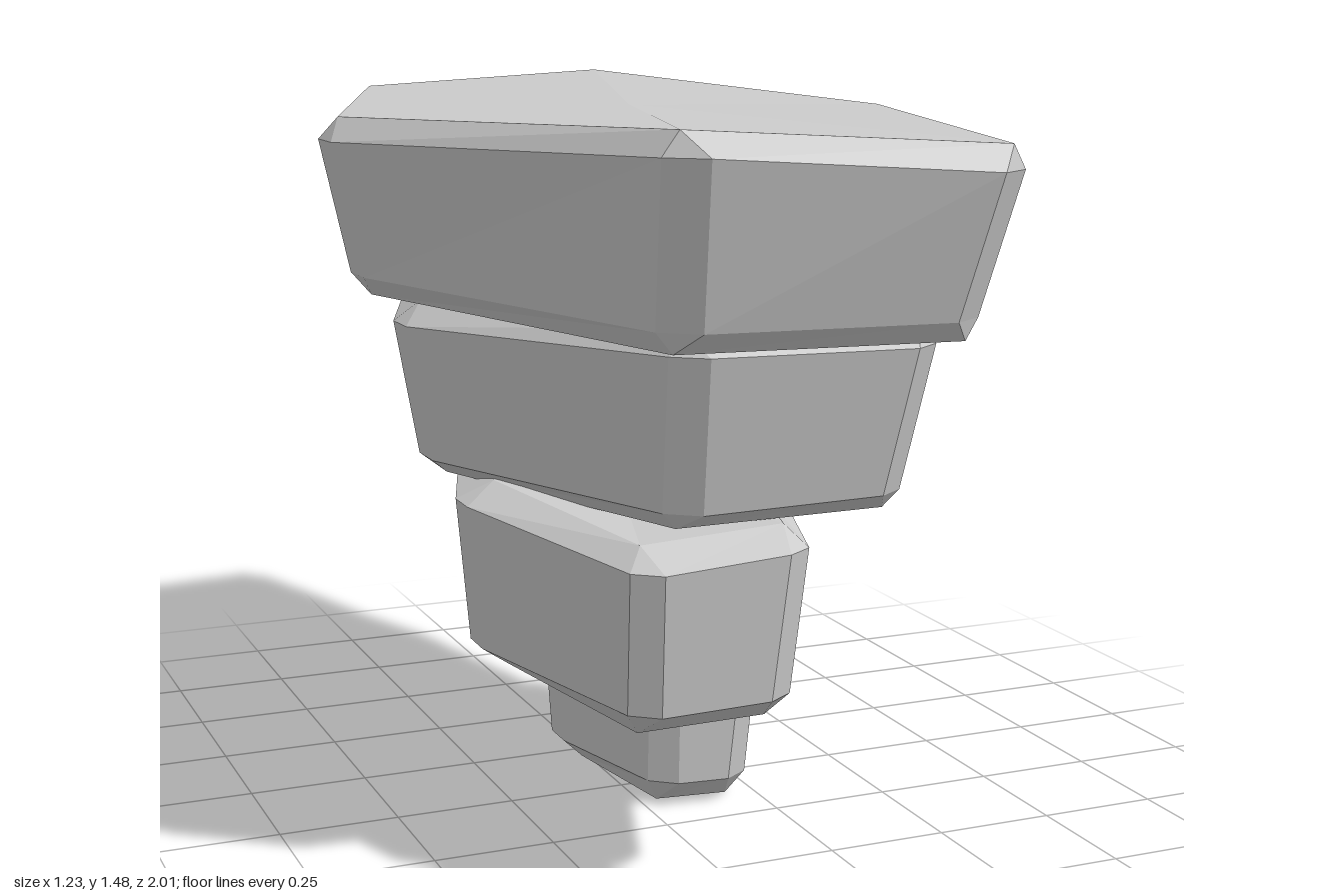
import * as THREE from 'three';

// Each corner: [x, z, bottom y, top y], in order left, front left, front right, right, back right, back left.
const SLABS = [
  { name: 'bottomStone', cut: 0.04, taper: 0.92, inset: 0.07, rise: 0.055, drop: 0.04, corners: [
    [-0.115, -0.165, 0.02, 0.36], [0.01, 0.2, 0.005, 0.36], [0.215, 0.22, 0.005, 0.325],
    [0.345, -0.16, 0.02, 0.36], [0.215, -0.55, 0.005, 0.355], [0.01, -0.52, 0.01, 0.36]] },
  { name: 'lowerStone', cut: 0.04, taper: 0.92, inset: 0.08, rise: 0.05, drop: 0.04, corners: [
    [-0.42, 0.17, 0.365, 0.745], [-0.25, 0.72, 0.345, 0.715], [0.07, 0.74, 0.355, 0.735],
    [0.275, 0.16, 0.36, 0.73], [0.07, -0.41, 0.37, 0.725], [-0.23, -0.38, 0.36, 0.74]] },
  { name: 'upperStone', cut: 0.045, taper: 0.905, inset: 0.06, rise: 0.035, drop: 0.045, corners: [
    [-0.485, -0.02, 0.725, 1.08], [-0.18, 0.74, 0.73, 1.11], [0.3, 0.79, 0.745, 1.11],
    [0.495, -0.02, 0.72, 1.085], [0.3, -0.84, 0.73, 1.11], [-0.2, -0.78, 0.73, 1.1]] },
  { name: 'topStone', cut: 0.05, taper: 0.91, inset: 0.045, rise: 0.04, drop: 0.045, corners: [
    [-0.635, 0, 1.1, 1.448], [-0.28, 0.945, 1.09, 1.475], [0.335, 1.01, 1.09, 1.44],
    [0.63, 0, 1.1, 1.445], [0.335, -1.01, 1.12, 1.48], [-0.28, -0.95, 1.11, 1.455]] },
];

// A six-sided stone that tapers downwards, with every edge bevelled
function slabGeometry({ corners, cut, taper, inset, rise, drop }) {
  const n = corners.length;
  const mean = (k) => corners.reduce((s, c) => s + c[k], 0) / n;
  const cx = mean(0), cz = mean(1);

  // Moves a corner by a scale about the middle, then inwards by a distance
  const place = (c, scale, inward, y) => {
    const dx = (c[0] - cx) * scale, dz = (c[1] - cz) * scale;
    const k = 1 - inward / Math.hypot(dx, dz);
    return new THREE.Vector3(cx + dx * k, y, cz + dz * k);
  };
  // Cap ring: both points of a corner coincide
  const cap = (scale, yOf) => corners.flatMap((c) => {
    const p = place(c, scale, inset, yOf(c));
    return [p, p];
  });
  // Wall ring: each corner is cut into two points
  const wall = (scale, yOf) => {
    const pts = corners.map((c) => place(c, scale, 0, yOf(c)));
    return pts.flatMap((p, i) => [pts[(i + n - 1) % n], pts[(i + 1) % n]].map((q) => {
      const s = p.clone().lerp(q, cut / p.distanceTo(q));
      s.y = p.y;
      return s;
    }));
  };
  const rings = [
    cap(taper, (c) => c[2]),
    wall(taper, (c) => c[2] + rise),
    wall(1, (c) => c[3] - drop),
    cap(1, (c) => c[3]),
  ];

  const pos = [];
  const tri = (a, b, c) => {
    if (a === b || b === c || a === c) return;
    for (const p of [a, b, c]) pos.push(p.x, p.y, p.z);
  };
  const bottom = new THREE.Vector3(cx, mean(2), cz);
  const top = new THREE.Vector3(cx, mean(3), cz);
  for (let i = 0; i < 2 * n; i++) {
    const j = (i + 1) % (2 * n);
    for (let r = 0; r < 3; r++) {
      const lo = rings[r], hi = rings[r + 1];
      tri(lo[i], lo[j], hi[j]);
      tri(lo[i], hi[j], hi[i]);
    }
    tri(bottom, rings[0][j], rings[0][i]);
    tri(top, rings[3][i], rings[3][j]);
  }
  const geo = new THREE.BufferGeometry();
  geo.setAttribute('position', new THREE.Float32BufferAttribute(pos, 3));
  geo.computeVertexNormals();
  return geo;
}

export function createModel() {
  const group = new THREE.Group();
  group.name = 'stackedStones';
  const material = new THREE.MeshStandardMaterial({ color: 0xcccccc, flatShading: true });
  for (const slab of SLABS) {
    const mesh = new THREE.Mesh(slabGeometry(slab), material);
    mesh.name = slab.name;
    group.add(mesh);
  }
  return group;
}
